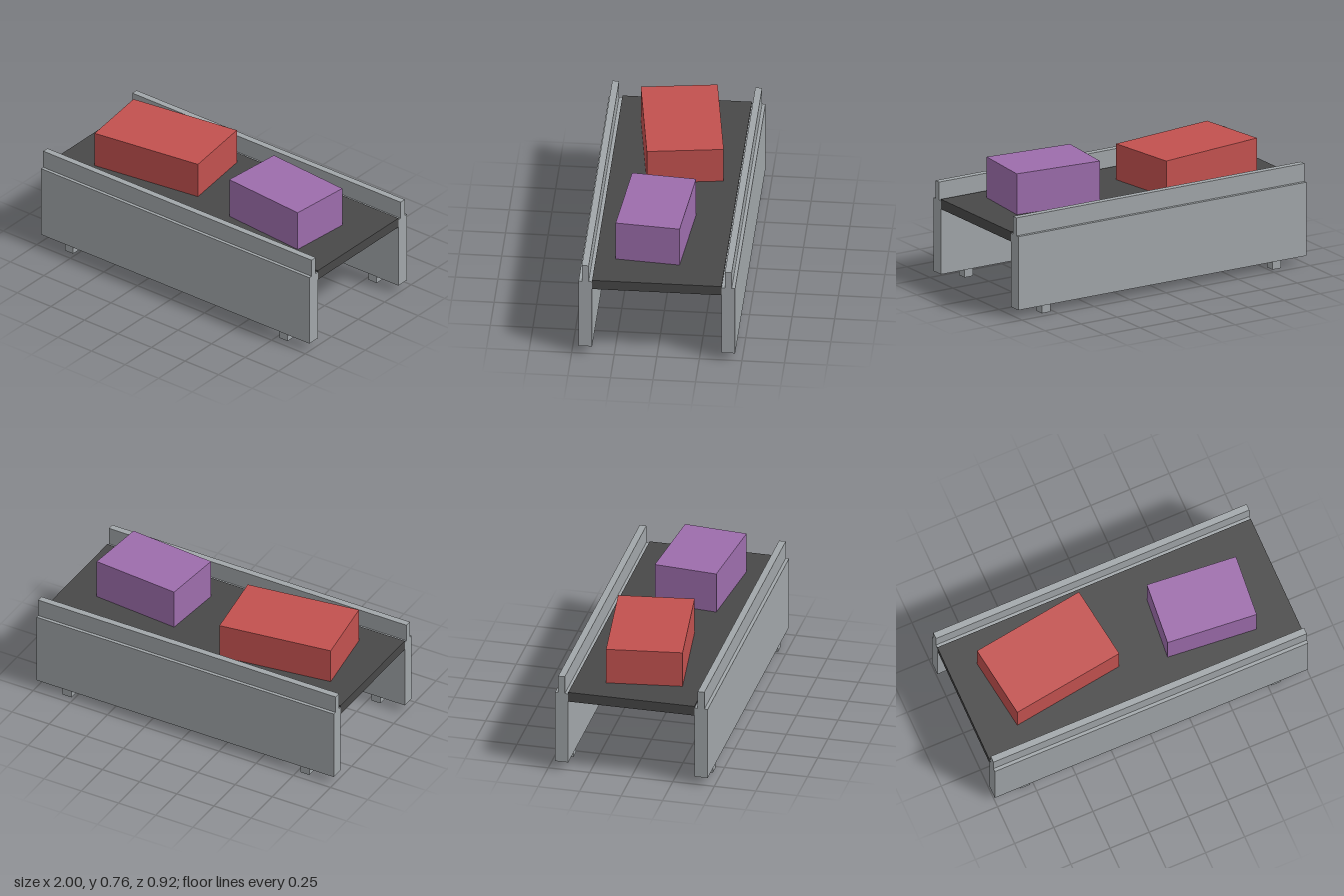
import * as THREE from 'three';

export function createModel() {
  const model = new THREE.Group();
  model.name = 'conveyor';

  const paint = (name, color) => {
    const material = new THREE.MeshStandardMaterial({ color });
    material.name = name;
    return material;
  };
  const grey = paint('frame grey', 0xa1a6a9);
  const dark = paint('belt dark grey', 0x484848);
  const red = paint('parcel red', 0xc2514f);
  const purple = paint('parcel purple', 0x9d6dac);

  // Box resting on height y, turned about the vertical axis
  const box = (name, material, [w, h, d], [x, y, z], turn = 0) => {
    const mesh = new THREE.Mesh(new THREE.BoxGeometry(w, h, d), material);
    mesh.name = name;
    mesh.position.set(x, y + h / 2, z);
    mesh.rotation.y = THREE.MathUtils.degToRad(turn);
    model.add(mesh);
  };

  // Belt between the side panels
  box('belt', dark, [2, 0.06, 0.76], [0, 0.45, 0]);

  // Side panels with guard rails on top and feet underneath
  for (const [side, s] of [['front', 1], ['back', -1]]) {
    box(`${side}Panel`, grey, [2, 0.45, 0.08], [0, 0.05, s * 0.42]);
    box(`${side}Rail`, grey, [2, 0.11, 0.04], [0, 0.5, s * 0.42]);
    for (const [end, e] of [['Left', 1], ['Right', -1]]) {
      box(`${side}${end}Foot`, grey, [0.06, 0.05, 0.06], [e * 0.8, 0, s * 0.42]);
    }
  }

  // Parcels riding on the belt
  box('redParcel', red, [0.7, 0.22, 0.45], [-0.45, 0.51, -0.02], 8);
  box('purpleParcel', purple, [0.55, 0.25, 0.38], [0.5, 0.51, 0.05], -5);

  return model;
}
